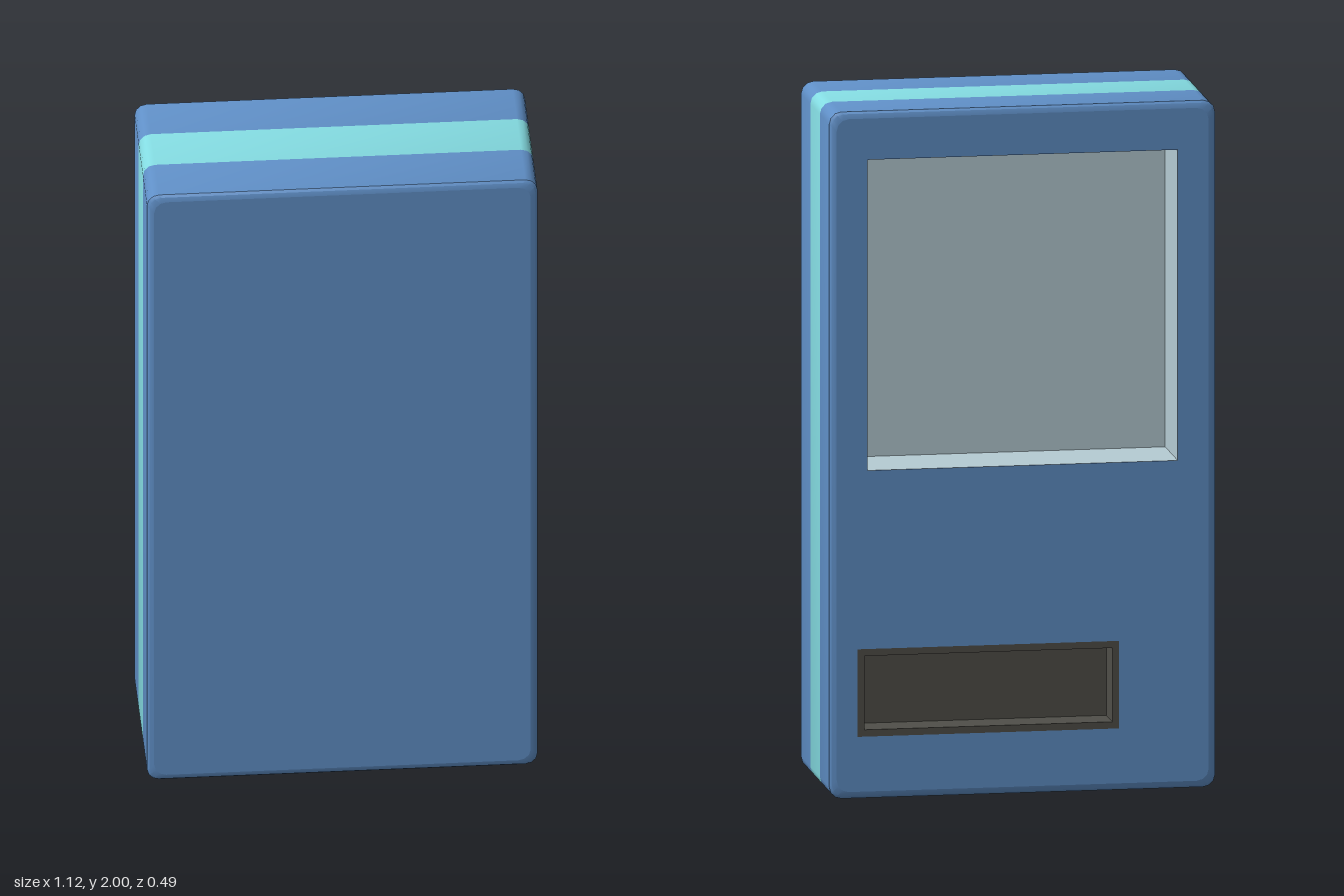
import * as THREE from 'three';
import { toCreasedNormals } from 'three/addons/utils/BufferGeometryUtils.js';

const HALF_W = 0.56, HEIGHT = 2, FRONT = 0.247, BACK = -0.247;
const BEVEL = 0.02, STRIPE = 0.08;

const paint = (color) => new THREE.MeshStandardMaterial({ color });

// rounded rectangle outline, counter-clockwise seen from +z
function outline(inset) {
  const r = 0.035, steps = 3, pts = [];
  const hw = HALF_W - inset - r, hh = HEIGHT / 2 - inset - r;
  [[1, 1], [-1, 1], [-1, -1], [1, -1]].forEach(([sx, sy], q) => {
    for (let i = 0; i <= steps; i++) {
      const a = (q + i / steps) * Math.PI / 2;
      pts.push(new THREE.Vector2(sx * hw + r * Math.cos(a), HEIGHT / 2 + sy * hh + r * Math.sin(a)));
    }
  });
  return pts;
}

// outer wall through a list of [z, inset] sections
function wall(sections) {
  const pos = [], index = [], n = outline(0).length;
  for (const [z, inset] of sections) for (const p of outline(inset)) pos.push(p.x, p.y, z);
  for (let s = 0; s < sections.length - 1; s++) {
    for (let i = 0; i < n; i++) {
      const a = s * n + i, b = s * n + (i + 1) % n;
      index.push(a, b, b + n, a, b + n, a + n);
    }
  }
  const g = new THREE.BufferGeometry();
  g.setAttribute('position', new THREE.Float32BufferAttribute(pos, 3));
  g.setIndex(index);
  return toCreasedNormals(g, Math.PI / 5);
}

const rectPoints = ({ x0, x1, y0, y1 }) =>
  [[x0, y0], [x1, y0], [x1, y1], [x0, y1]].map(([x, y]) => new THREE.Vector2(x, y));

// flat sheet facing the back, with rectangular holes
function backSheet(points, holes) {
  const mirror = (pts) => pts.map((p) => new THREE.Vector2(-p.x, p.y));
  const shape = new THREE.Shape(mirror(points));
  for (const h of holes) shape.holes.push(new THREE.Path(mirror(rectPoints(h))));
  return new THREE.ShapeGeometry(shape).rotateY(Math.PI).translate(0, 0, BACK);
}

// box seen from inside, open towards the back
function recess({ x0, x1, y0, y1 }, depth) {
  const g = new THREE.BoxGeometry(x1 - x0, y1 - y0, depth);
  g.setIndex(Array.from(g.index.array).slice(0, 30).reverse());
  g.computeVertexNormals();
  return g.translate((x0 + x1) / 2, (y0 + y1) / 2, BACK + depth / 2);
}

export function createModel() {
  const model = new THREE.Group();
  const blue = paint(0x6090c8), cyan = paint(0x84dce2);
  const pale = paint(0xb6ccd4), dark = paint(0x504f49);
  const add = (name, geometry, material) => {
    const mesh = new THREE.Mesh(geometry, material);
    mesh.name = name;
    model.add(mesh);
  };

  const windowRect = { x0: -0.45, x1: 0.45, y0: 0.955, y1: 1.86 };
  const slotRect = { x0: -0.28, x1: 0.48, y0: 0.18, y1: 0.435 };
  const rim = 0.02;
  const slotInner = {
    x0: slotRect.x0 + rim, x1: slotRect.x1 - rim,
    y0: slotRect.y0 + rim, y1: slotRect.y1 - rim,
  };

  // cabinet walls: blue, cyan band, blue
  add('frontShell', wall([[STRIPE, 0], [FRONT - 0.01, 0], [FRONT - 0.003, 0.006], [FRONT, BEVEL]]), blue);
  add('middleBand', wall([[-STRIPE, 0], [STRIPE, 0]]), cyan);
  add('backShell', wall([[BACK, BEVEL], [BACK + 0.003, 0.006], [BACK + 0.01, 0], [-STRIPE, 0]]), blue);

  // flat faces
  add('frontPanel', new THREE.ShapeGeometry(new THREE.Shape(outline(BEVEL))).translate(0, 0, FRONT), blue);
  add('backPanel', backSheet(outline(BEVEL), [windowRect, slotRect]), blue);

  // display window and dispenser slot
  add('displayRecess', recess(windowRect, 0.21), pale);
  add('slotRim', backSheet(rectPoints(slotRect), [slotInner]), dark);
  add('slotRecess', recess(slotInner, 0.1), dark);

  return model;
}
